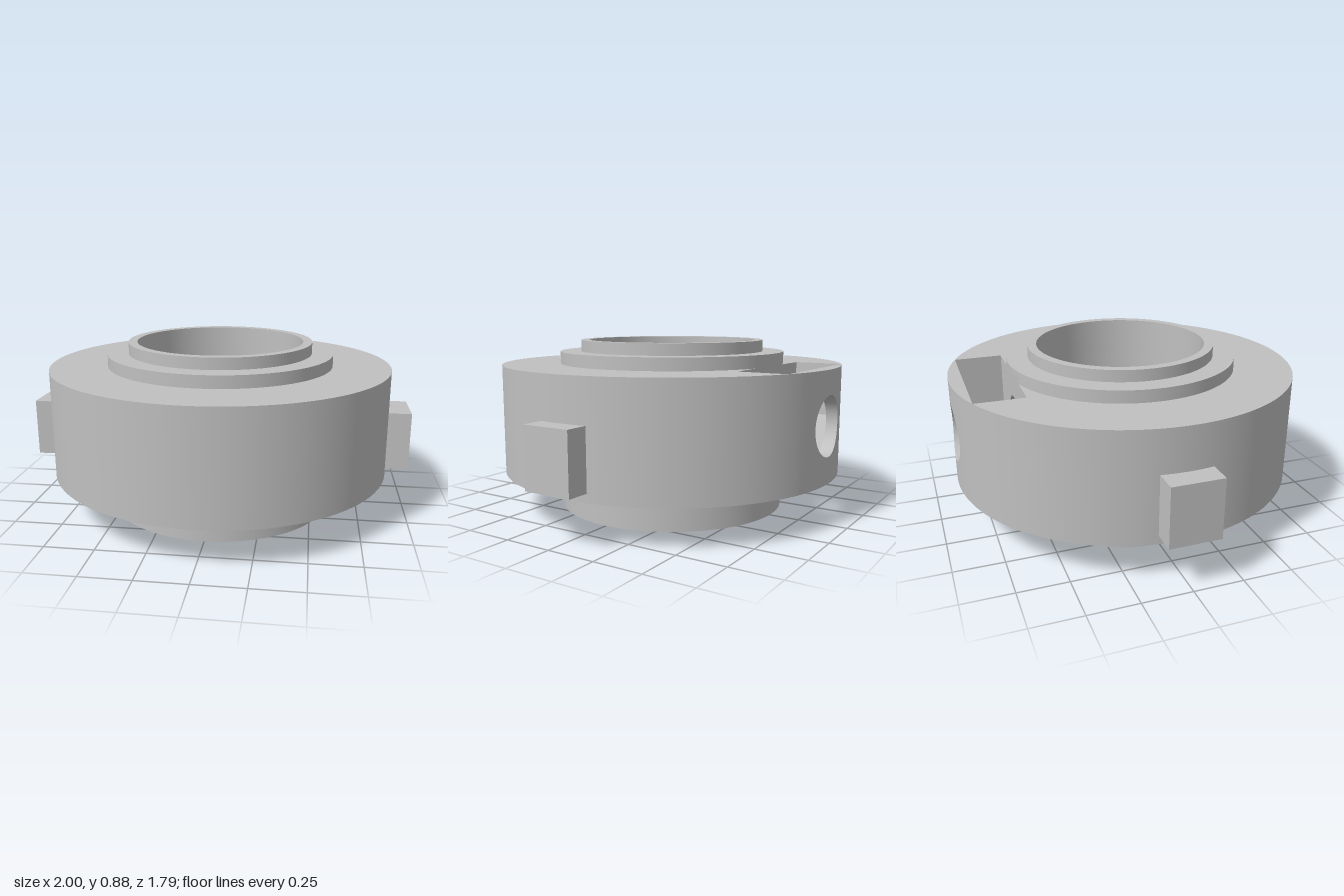
import * as THREE from 'three';
import { toCreasedNormals } from 'three/addons/utils/BufferGeometryUtils.js';

const SEG = 128;
const R = 0.893, HUB = 0.594, LIP = 0.484, BORE = 0.437;       // radii
const Y0 = 0.203, Y1 = 0.76, HUB_TOP = 0.823, TOP = 0.882;     // ring and hub heights
const CY = 0.488, HOLE = 0.15, HOLE_END = -0.427;              // radial hole
const ZOUT = -0.822, ZIN = -0.575;                             // nut slot depth range
const W = 0.346, WB = 0.183, S0 = 0.187, S1 = 0.789;           // nut slot widths, heights
const CHORD = Math.sqrt(HUB * HUB - ZIN * ZIN);                // hub flat half width
const OPEN = Math.sqrt(BORE * BORE - HOLE_END * HOLE_END);     // hole opening half width in bore

// surface grid from a rule (u, v) -> [x, y, z]
function grid(nu, nv, rule) {
  const g = new THREE.PlaneGeometry(1, 1, nu, nv);
  const p = g.attributes.position, uv = g.attributes.uv;
  for (let i = 0; i < p.count; i++) p.setXYZ(i, ...rule(uv.getX(i), uv.getY(i)));
  g.computeVertexNormals();
  return g;
}

// back part of a cylindrical wall with the radial hole in it
function holedPatch(r, phi, y0, y1, maxX) {
  return grid(64, 4, (u, v) => {
    const t = u * Math.PI * 2, c = Math.cos(t), s = Math.sin(t);
    const k = 1 / Math.max(Math.abs(c), Math.abs(s));
    const a0 = Math.asin(THREE.MathUtils.clamp(HOLE * c, -maxX, maxX) / r);
    const a1 = phi * c * k;
    const b0 = HOLE * s, b1 = s * k * (s > 0 ? y1 - CY : CY - y0);
    const a = a0 + (a1 - a0) * v, y = CY + b0 + (b1 - b0) * v;
    return [r * Math.sin(a), y, -r * Math.cos(a)];
  });
}

// open cylinder wall leaving a gap of half angle phi at the back
function wall(r, y0, y1, phi) {
  return new THREE.CylinderGeometry(r, r, y1 - y0, SEG, 1, true, Math.PI + phi, 2 * (Math.PI - phi))
    .translate(0, (y0 + y1) / 2, 0);
}

function lathe(points) {
  const g = new THREE.LatheGeometry(points.map(([x, y]) => new THREE.Vector2(x, y)), SEG);
  return toCreasedNormals(g, 0.6);
}

// horizontal face of the ring, cut by the hub and the nut slot
function ringFace(w, y) {
  const s = new THREE.Shape().absarc(0, 0, R, 0, Math.PI * 2);
  const h = new THREE.Path(), b = Math.asin(-ZIN / HUB);
  h.moveTo(w, -ZIN).lineTo(w, -ZOUT).lineTo(-w, -ZOUT).lineTo(-w, -ZIN);
  h.absarc(0, 0, HUB, Math.PI - b, Math.PI * 2 + b);
  s.holes.push(h);
  return new THREE.ShapeGeometry(s, 96).rotateX(-Math.PI / 2).translate(0, y, 0);
}

// upright slot face, mirrored from its right half, with the round hole
function slotFace(half, z) {
  const pts = [...half, ...half.map(([x, y]) => [-x, y]).reverse()];
  const s = new THREE.Shape(pts.map(([x, y]) => new THREE.Vector2(x, y)));
  s.holes.push(new THREE.Path().absarc(0, CY, HOLE, 0, Math.PI * 2));
  return new THREE.ShapeGeometry(s, 32).translate(0, 0, z);
}

// round hole wall between two depth rules
function tunnel(z0, z1) {
  return grid(64, 1, (u, v) => {
    const t = u * Math.PI * 2, x = HOLE * Math.cos(t);
    return [x, CY + HOLE * Math.sin(t), z0(x) + (z1(x) - z0(x)) * v];
  });
}

export function createModel() {
  const model = new THREE.Group();
  model.name = 'shaftCollar';
  const metal = new THREE.MeshStandardMaterial({ color: 0xc0c0c0, side: THREE.DoubleSide });
  metal.name = 'grey metal';
  const add = (name, geometry) => {
    const m = new THREE.Mesh(geometry, metal);
    m.name = name;
    model.add(m);
    return m;
  };

  // ring body
  add('ringWall', wall(R, Y0, Y1, 0.3));
  add('ringWallAroundHole', holedPatch(R, 0.3, Y0, Y1, HOLE));
  add('ringTop', ringFace(W, Y1));
  add('ringBottom', ringFace(WB, Y0));

  // hub with stepped lip
  add('hubTop', lathe([[HUB, S1], [HUB, HUB_TOP], [LIP, HUB_TOP], [LIP, TOP], [BORE, TOP], [BORE, 0.7]]));
  add('hubBottom', lathe([[BORE, 0.28], [BORE, 0], [HUB, 0], [HUB, S0]]));
  const flat = Math.asin(CHORD / HUB);
  add('hubNeckUpper', wall(HUB, Y1, S1, flat));
  add('hubNeckLower', wall(HUB, S0, Y0, flat));
  for (const y of [S0, S1]) {
    const a = Math.PI / 2 - flat;
    const seg = new THREE.Shape().absarc(0, 0, HUB, a, Math.PI - a);
    add('hubNotchLedge', new THREE.ShapeGeometry(seg, 24).rotateX(-Math.PI / 2).translate(0, y, 0));
  }

  // bore wall and the thin web across it
  add('boreWall', wall(BORE, 0.28, 0.7, 0.45));
  add('boreWallAroundHole', holedPatch(BORE, 0.45, 0.28, 0.7, OPEN));
  const b = Math.asin(-HOLE_END / BORE);
  const disc = new THREE.Shape().absarc(0, 0, BORE, Math.PI - b, Math.PI * 2 + b);
  add('boreWeb', new THREE.ExtrudeGeometry(disc, { depth: 0.04, bevelEnabled: false, curveSegments: 64 })
    .rotateX(-Math.PI / 2).translate(0, 0.36, 0));

  // nut slot: outer and inner faces, then straight and sloping sides
  const sides = [[WB, Y0], [W, CY], [W, Y1]];
  add('slotOuterFace', slotFace(sides, ZOUT));
  add('slotInnerFace', slotFace([[CHORD, S0], [CHORD, Y0], ...sides, [CHORD, Y1], [CHORD, S1]], ZIN));
  for (const m of [-1, 1]) {
    for (let i = 0; i < 2; i++) {
      const [[xa, ya], [xb, yb]] = [sides[i], sides[i + 1]];
      add(i ? 'slotSide' : 'slotSlope', grid(1, 1, (u, v) => {
        const w = m > 0 ? u : 1 - u;
        return [m * (xa + (xb - xa) * v), ya + (yb - ya) * v, ZOUT + (ZIN - ZOUT) * w];
      }));
    }
  }

  // radial screw hole
  add('screwHoleOuter', tunnel(x => -Math.sqrt(R * R - x * x), () => ZOUT));
  add('screwHoleInner', tunnel(() => ZIN, () => HOLE_END));
  const e = Math.acos(OPEN / HOLE);
  for (const start of [0, Math.PI]) {
    const seg = new THREE.Shape().absarc(0, CY, HOLE, start - e, start + e);
    add('screwHoleEnd', new THREE.ShapeGeometry(seg, 16).translate(0, 0, HOLE_END));
  }

  // side keys
  for (const m of [-1, 1]) {
    add(m > 0 ? 'leftKey' : 'rightKey', new THREE.BoxGeometry(0.125, 0.299, 0.254))
      .position.set(m * 0.9375, 0.396, 0);
  }
  return model;
}
